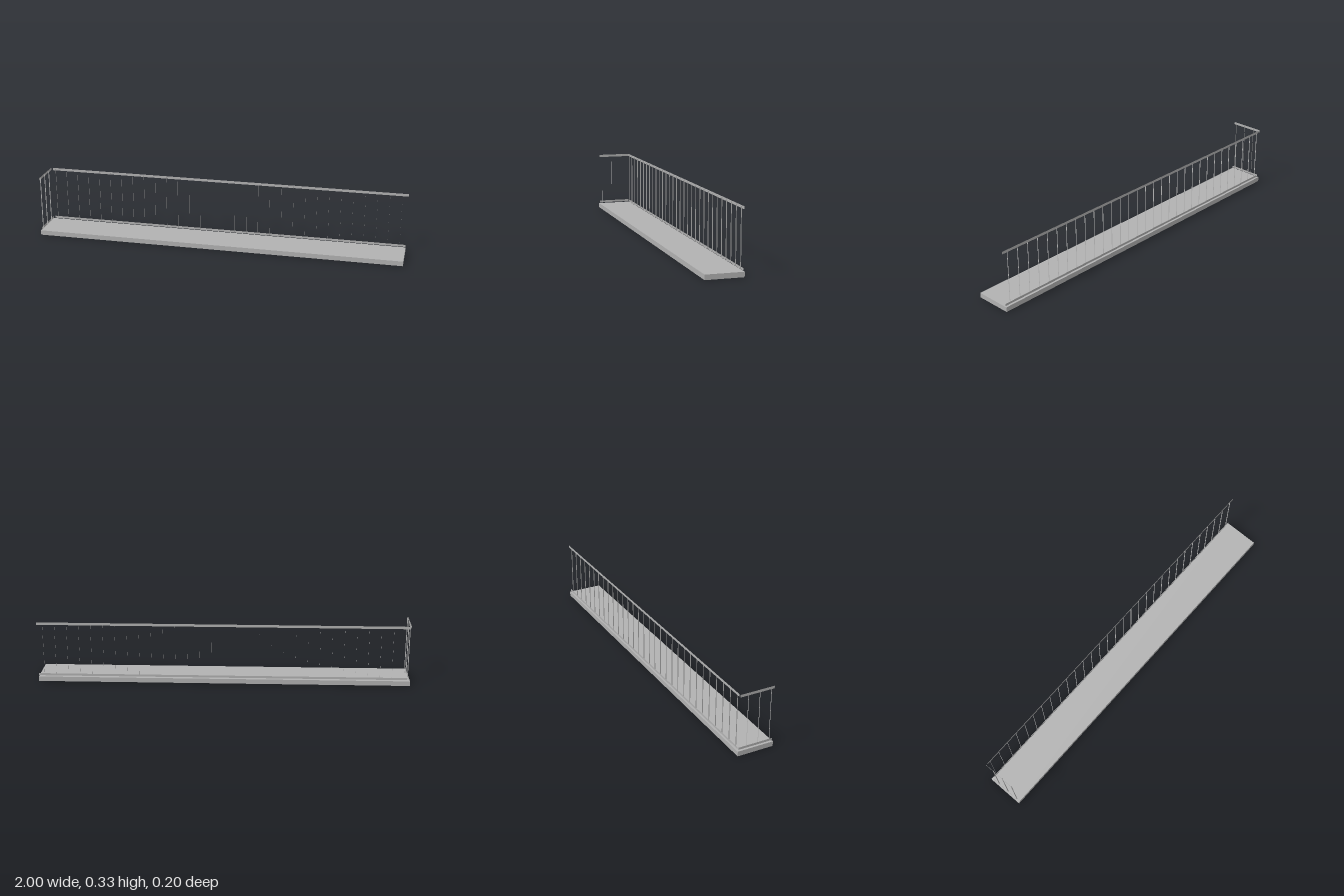
import * as THREE from 'three';

export function createModel() {
  const group = new THREE.Group();
  const grey = new THREE.MeshStandardMaterial({ color: 0xb2b2b2, side: THREE.DoubleSide });
  grey.name = 'concrete grey';

  const add = (name, geometry, x, y, z, turn = 0) => {
    const mesh = new THREE.Mesh(geometry, grey);
    mesh.name = name;
    mesh.position.set(x, y, z);
    mesh.rotation.y = turn;
    group.add(mesh);
  };

  // Floor slab
  add('floorSlab', new THREE.BoxGeometry(2, 0.026, 0.196), 0, 0.013, 0);

  // Flat rails along the back and the closed end
  const rails = [['lowerRail', 0.037, 0.012], ['upperRail', 0.325, 0.014]];
  for (const [name, y, height] of rails) {
    add(name + 'Back', new THREE.PlaneGeometry(1.985, height), 0.0075, y, -0.092);
    add(name + 'Side', new THREE.PlaneGeometry(0.187, height), -0.994, y, 0.0015, Math.PI / 2);
  }

  // Flat balusters, set edgeways to the rails
  const bar = new THREE.PlaneGeometry(0.0045, 0.297);
  const barY = 0.1795;
  for (let i = 0; i < 31; i++) {
    add('backBaluster', bar, -0.967 + i * 0.0645, barY, -0.0897, Math.PI / 2);
  }
  for (let i = 0; i < 3; i++) {
    add('sideBaluster', bar, -0.9918, barY, 0.08 - i * 0.063);
  }

  return group;
}
